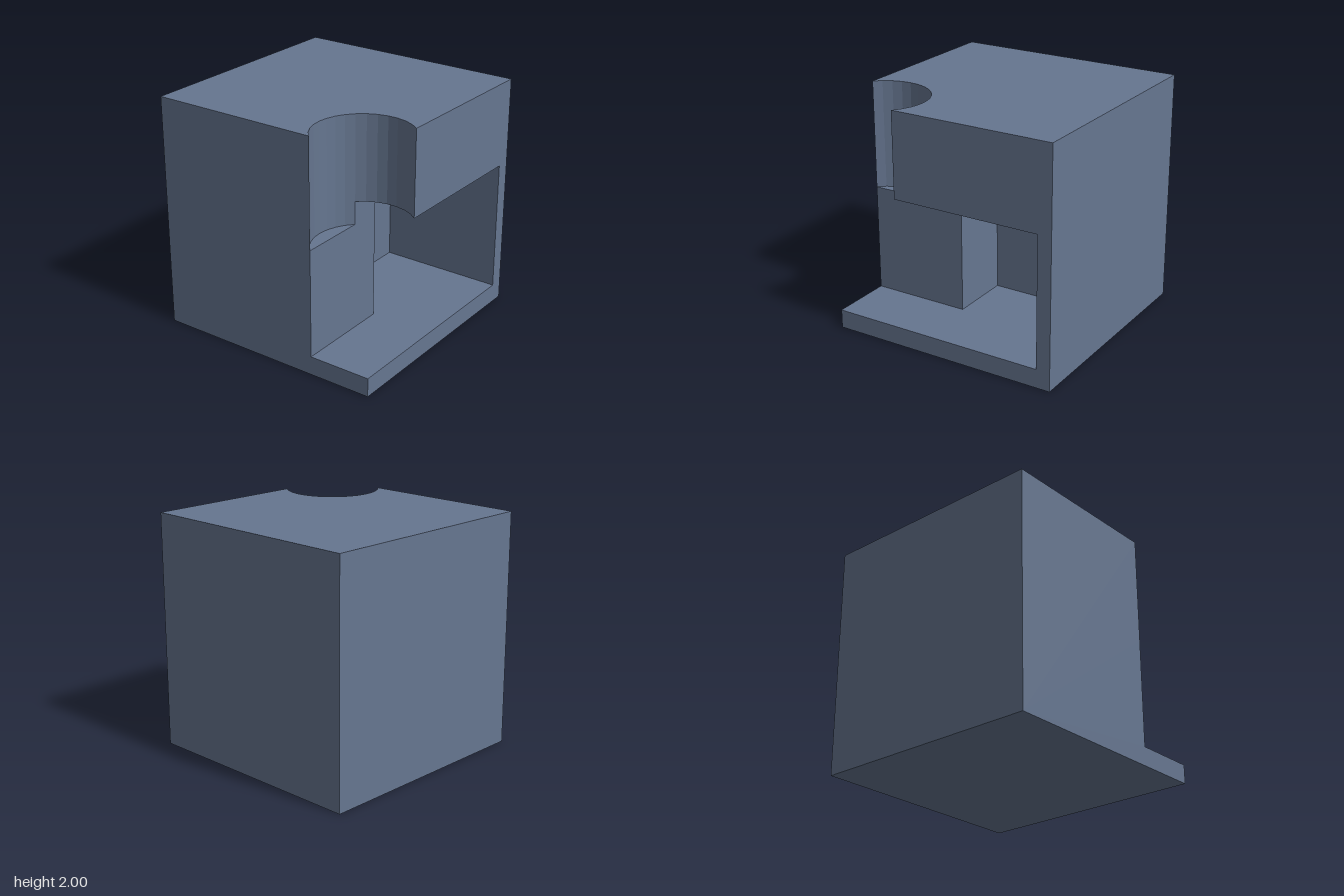
import * as THREE from 'three';

// Flat polygon at `value` along `axis`; `sign` is the way it faces.
// Points are [z, y] for axis x, [x, z] for axis y, [x, y] for axis z.
function face(axis, value, sign, pts) {
  const place = {
    x: ([z, y]) => [value, y, z],
    y: ([x, z]) => [x, value, z],
    z: ([x, y]) => [x, y, value],
  }[axis];
  const normal = new THREE.Vector3();
  normal[axis] = sign;
  const corners = pts.map((p) => new THREE.Vector3(...place(p)));
  const triangles = THREE.ShapeUtils.triangulateShape(pts.map((p) => new THREE.Vector2(...p)), []);
  const out = [];
  for (const t of triangles) {
    const [a, b, c] = t.map((i) => corners[i]);
    const n = b.clone().sub(a).cross(c.clone().sub(a));
    out.push(...(n.dot(normal) > 0 ? [a, b, c] : [a, c, b]));
  }
  return out;
}

const rect = (u0, v0, u1, v1) => [[u0, v0], [u1, v0], [u1, v1], [u0, v1]];

// Points on the round corner cut, as [x, z]
const cut = { x: -0.71, z: 0.735, r: 0.4 };
function arc(start, end, n) {
  const pts = [];
  for (let i = 0; i <= n; i++) {
    const a = start + ((end - start) * i) / n;
    pts.push([cut.x + cut.r * Math.cos(a), cut.z + cut.r * Math.sin(a)]);
  }
  return pts;
}

// Upright strip along an arc, facing the middle of the cut
function arcWall(pts, y0, y1) {
  const out = [];
  for (let i = 0; i + 1 < pts.length; i++) {
    const [p, q] = [pts[i], pts[i + 1]];
    const v = (k, y) => new THREE.Vector3(k[0], y, k[1]);
    out.push(v(p, y0), v(q, y0), v(q, y1), v(p, y0), v(q, y1), v(p, y1));
  }
  return out;
}

export function createModel() {
  const group = new THREE.Group();
  const slate = new THREE.MeshStandardMaterial({ color: 0x667690 });
  slate.name = 'slate blue';

  const add = (name, ...faces) => {
    const geometry = new THREE.BufferGeometry().setFromPoints(faces.flat());
    geometry.computeVertexNormals();
    const mesh = new THREE.Mesh(geometry, slate);
    mesh.name = name;
    group.add(mesh);
  };

  // Main levels and planes
  const floor = 0.16, ledge = 1.08, ceiling = 1.275;
  const wallZ = 0.46, roomBack = -0.08, roomLeft = -0.15, roomRight = 0.88;

  // Cut outline: back part over the ledge, side part over the porch
  const a0 = Math.atan2(wallZ - cut.z, -1 - cut.x);
  const a1 = Math.atan2(wallZ - cut.z, -0.42 - cut.x);
  const a2 = Math.asin((1 - cut.z) / cut.r);
  const backArc = arc(a0, a1, 8);
  const sideArc = arc(a1, a2, 7);
  backArc[0] = [-1, wallZ];
  backArc[8] = sideArc[0] = [-0.42, wallZ];
  const frontX = sideArc[7][0];
  sideArc[7][1] = 1;

  // Outer faces of the block
  add('outerShell',
    face('y', 0, -1, rect(-1, -1, 1, 1)),
    face('z', -1, -1, rect(-1, 0, 1, 2)),
    face('x', 1, 1, rect(-1, 0, 1, 2)),
    face('x', -1, -1, [[-1, 0], [1, 0], [1, floor], [wallZ, floor], [wallZ, ledge], [wallZ, 2], [-1, 2]]),
    face('z', 1, 1, [[-1, 0], [1, 0], [1, 2], [frontX, 2], [frontX, ceiling],
      [roomRight, ceiling], [roomRight, floor], [-1, floor]]),
    face('y', 2, 1, [[-1, -1], [1, -1], [1, 1], ...[...sideArc].reverse(), ...backArc.slice(0, 8).reverse()]));

  // Round corner cut with its small ledge
  add('roundCut', arcWall(backArc, ledge, 2), arcWall(sideArc, ceiling, 2));
  add('cutLedge', face('y', ledge, 1, backArc));

  // Porch and room
  add('floor', face('y', floor, 1, [[-1, wallZ], [-1, 1], [roomRight, 1], [roomRight, roomBack],
    [roomLeft, roomBack], [roomLeft, wallZ]]));
  add('ceiling', face('y', ceiling, -1, [...sideArc, [roomRight, 1], [roomRight, roomBack],
    [roomLeft, roomBack], [roomLeft, wallZ]]));
  add('porchWall', face('z', wallZ, 1, [[-1, floor], [roomLeft, floor], [roomLeft, ceiling],
    [-0.42, ceiling], [-0.42, ledge], [-1, ledge]]));
  add('roomWalls',
    face('x', roomLeft, 1, rect(roomBack, floor, wallZ, ceiling)),
    face('x', roomRight, -1, rect(roomBack, floor, 1, ceiling)),
    face('z', roomBack, 1, rect(roomLeft, floor, roomRight, ceiling)));

  // Small block hanging from the ceiling
  const block = new THREE.Mesh(new THREE.BoxGeometry(0.14, 0.12, 0.14), slate);
  block.name = 'ceilingBlock';
  block.position.set(0.39, ceiling - 0.06, 0.46);
  group.add(block);

  return group;
}
